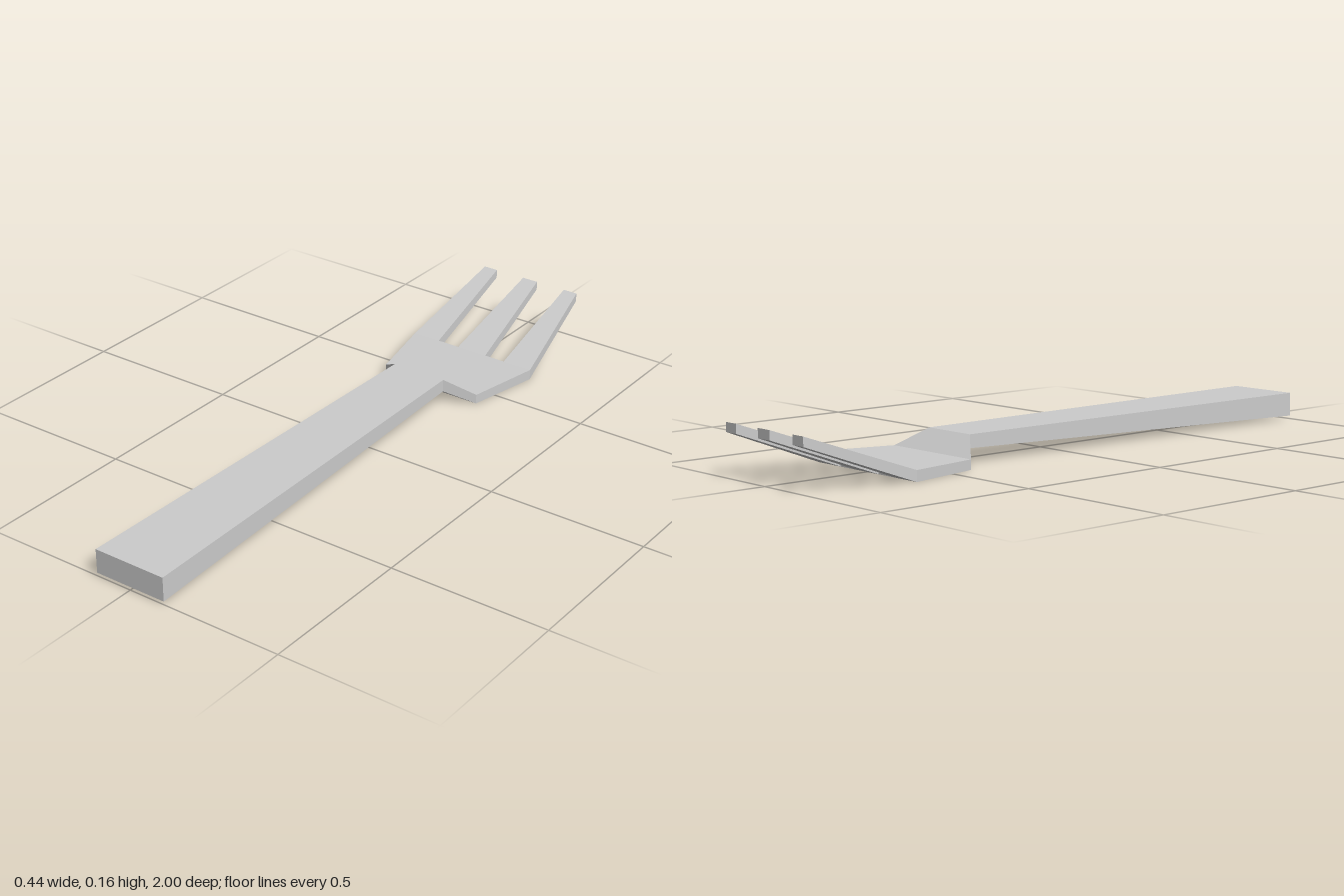
import * as THREE from 'three';

const material = new THREE.MeshStandardMaterial({ color: 0xcccccc, flatShading: true });

// Lofts rectangular sections [z, xMin, xMax, yMin, yMax], ordered from front to back.
function loft(name, sections, capFront, capBack) {
  const rings = sections.map(([z, x0, x1, y0, y1]) => [
    [x0, y0, z], [x1, y0, z], [x1, y1, z], [x0, y1, z],
  ]);
  const positions = [];
  const quad = (a, b, c, d) => positions.push(...a, ...b, ...c, ...a, ...c, ...d);
  for (let i = 0; i < rings.length - 1; i++) {
    const near = rings[i], far = rings[i + 1];
    for (let k = 0; k < 4; k++) {
      const n = (k + 1) % 4;
      quad(near[k], far[k], far[n], near[n]);
    }
  }
  if (capFront) quad(...rings[0]);
  if (capBack) quad(...[...rings[rings.length - 1]].reverse());
  const geometry = new THREE.BufferGeometry();
  geometry.setAttribute('position', new THREE.Float32BufferAttribute(positions, 3));
  geometry.computeVertexNormals();
  const mesh = new THREE.Mesh(geometry, material);
  mesh.name = name;
  return mesh;
}

export function createModel() {
  const group = new THREE.Group();
  group.name = 'fork';

  // Sections where the parts meet
  const handleEnd = [1, -0.118, 0.118, 0.01, 0.085];
  const neckTop = [-0.355, -0.091, 0.091, 0.045, 0.085];
  const headFront = [-0.42, -0.172, 0.172, 0, 0.03];
  const headBack = [-0.655, -0.221, 0.221, 0, 0.033];

  group.add(
    loft('handle', [handleEnd, neckTop], true, false),
    loft('neck', [neckTop, headFront], false, false),
    loft('head', [headFront, headBack], false, true),
  );

  // Three tapering tines: x range at the root, then at the tip
  const tines = [
    ['rightTine', -0.221, -0.128, -0.178, -0.13],
    ['middleTine', -0.052, 0.052, -0.027, 0.027],
    ['leftTine', 0.122, 0.221, 0.13, 0.178],
  ];
  for (const [name, a0, a1, b0, b1] of tines) {
    group.add(loft(name, [
      [-0.655, a0, a1, 0, 0.033],
      [-1, b0, b1, 0.128, 0.156],
    ], false, true));
  }
  return group;
}
